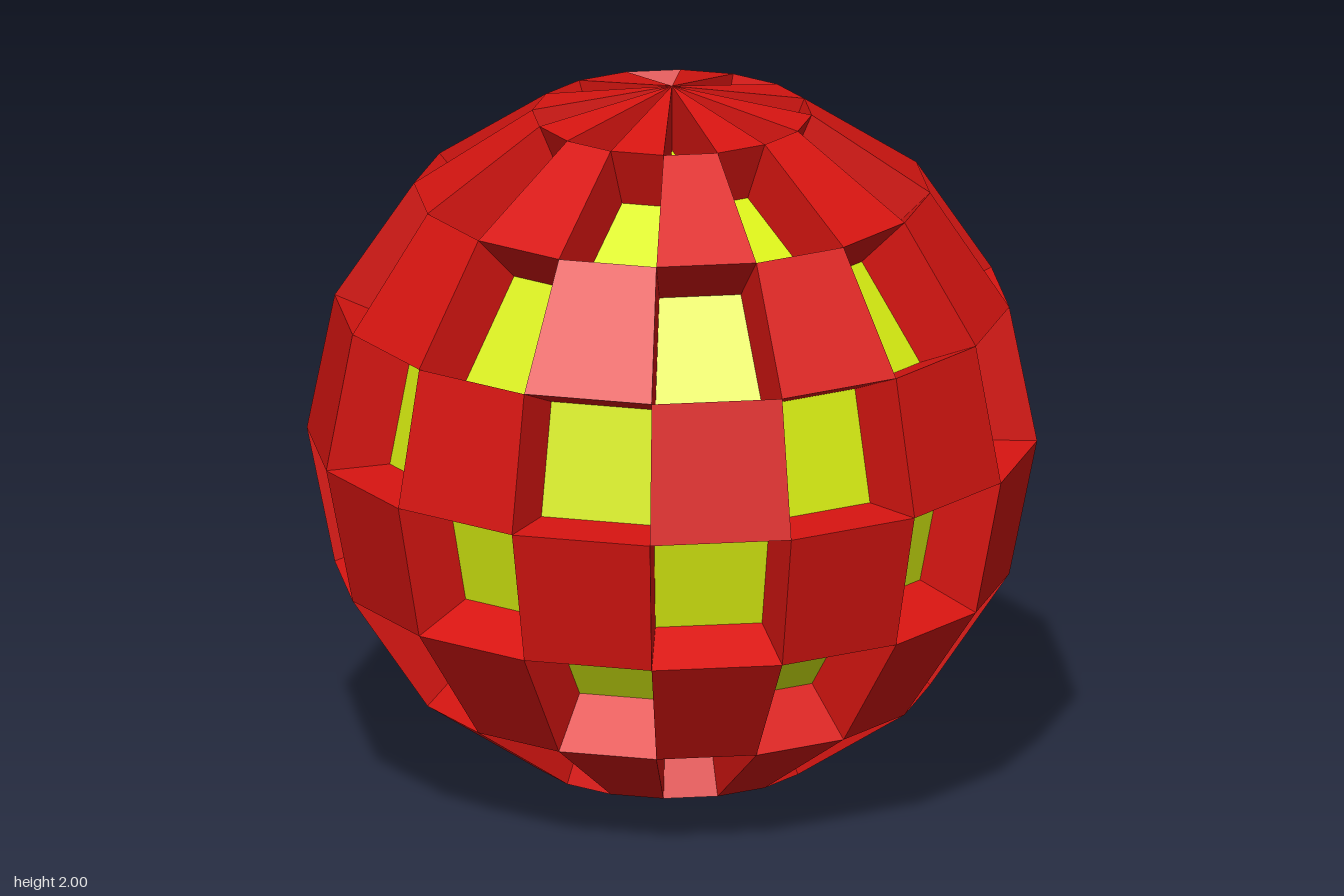
import * as THREE from 'three';

const SEGMENTS = 16, RINGS = 8, OUTER = 1, INNER = 0.816;

// Point on a sphere of radius r: ring i counted from the top, segment j from +z towards +x
function gridPoint(r, i, j) {
  return new THREE.Vector3().setFromSphericalCoords(
    r, (Math.PI * i) / RINGS, (2 * Math.PI * j) / SEGMENTS);
}

// Raised tiles: every second cell becomes a block reaching from the core to the outer sphere
function raisedTilesGeometry() {
  const positions = [];
  const triangle = (a, b, c) => {
    const area = b.clone().sub(a).cross(c.clone().sub(a)).length();
    if (area > 1e-6) for (const p of [a, b, c]) positions.push(p.x, p.y, p.z);
  };
  const quad = (a, b, c, d) => { triangle(a, b, c); triangle(a, c, d); };

  for (let i = 0; i < RINGS; i++) {
    for (let j = 0; j < SEGMENTS; j++) {
      if ((i + j) % 2) continue;
      const cell = [[i, j], [i + 1, j], [i + 1, j + 1], [i, j + 1]];
      const top = cell.map(([a, b]) => gridPoint(OUTER, a, b));
      const base = cell.map(([a, b]) => gridPoint(INNER, a, b));
      quad(...top);
      for (let k = 0; k < 4; k++) {
        const n = (k + 1) % 4;
        if (top[k].distanceTo(top[n]) < 1e-6) continue; // no wall at the poles
        quad(top[n], top[k], base[k], base[n]);
      }
    }
  }
  const geometry = new THREE.BufferGeometry();
  geometry.setAttribute('position', new THREE.Float32BufferAttribute(positions, 3));
  geometry.computeVertexNormals();
  return geometry;
}

export function createModel() {
  const model = new THREE.Group();
  model.name = 'checkeredBall';

  const add = (name, geometry, color) => {
    const mesh = new THREE.Mesh(geometry,
      new THREE.MeshStandardMaterial({ color, flatShading: true }));
    mesh.name = name;
    mesh.position.y = OUTER;
    model.add(mesh);
  };

  // Inner faceted core, seen at the bottom of the recesses
  add('core', new THREE.SphereGeometry(INNER, SEGMENTS, RINGS), 0xd8ee11);
  // Outer checkerboard of raised blocks
  add('raisedTiles', raisedTilesGeometry(), 0xd81511);

  return model;
}
